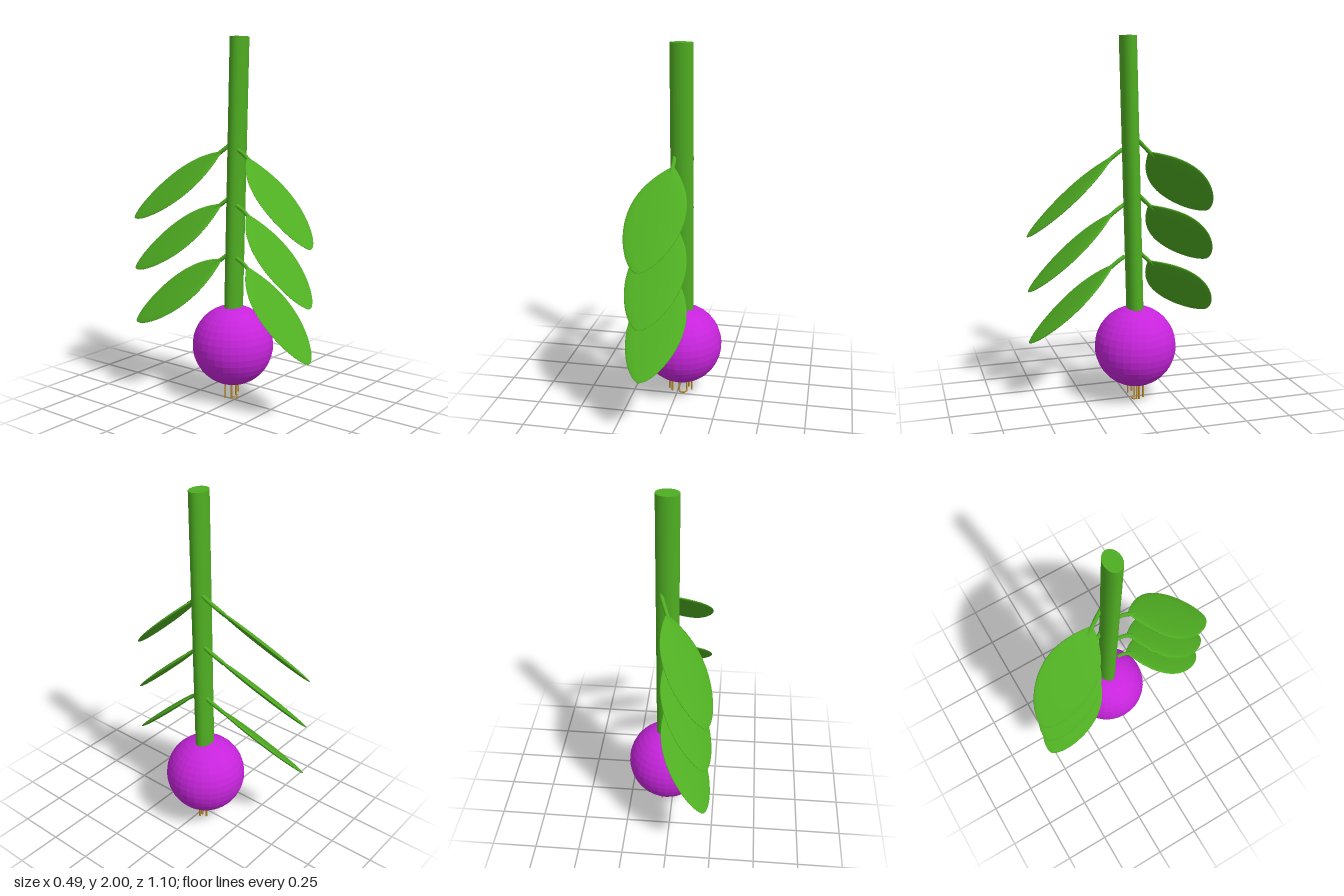
import * as THREE from 'three';

const V = (x, y, z) => new THREE.Vector3(x, y, z);
const green = new THREE.MeshStandardMaterial({ color: 0x4fae22 });
const purple = new THREE.MeshStandardMaterial({ color: 0xc724dc, flatShading: true, side: THREE.DoubleSide });
const gold = new THREE.MeshStandardMaterial({ color: 0xb8892a });

function add(parent, name, geometry, material) {
  const mesh = new THREE.Mesh(geometry, material);
  mesh.name = name;
  parent.add(mesh);
  return mesh;
}

// Flat almond blade: a sphere reshaped so it runs down from its base at the origin
function bladeGeometry(length) {
  const g = new THREE.SphereGeometry(1, 32, 32);
  const p = g.attributes.position;
  for (let i = 0; i < p.count; i++) {
    const t = (1 - p.getY(i)) / 2;
    const s = Math.sqrt(Math.max(0, 4 * t * (1 - t)));
    const phi = Math.atan2(p.getZ(i), p.getX(i));
    const half = 0.152 * Math.pow(s, 1.9 - 0.6 * t);
    p.setXYZ(i, Math.cos(phi) * half, -t * length, Math.sin(phi) * 0.015 * s);
  }
  g.computeVertexNormals();
  return g;
}

// Leaf with its stalk, from the joint on the stem through the blade base to the tip
function makeLeaf(name, joint, base, tip, across) {
  const leaf = new THREE.Group();
  leaf.name = name;
  const up = base.clone().sub(tip);
  const length = up.length();
  up.normalize();
  const w = across.clone().addScaledVector(up, -across.dot(up)).normalize();
  const n = w.clone().cross(up);
  const blade = add(leaf, 'blade', bladeGeometry(length), green);
  blade.quaternion.setFromRotationMatrix(new THREE.Matrix4().makeBasis(w, up, n));
  blade.position.copy(base);
  const end = base.clone().addScaledVector(up, -0.05);
  const mid = base.clone().lerp(joint, 0.35);
  const path = new THREE.CatmullRomCurve3([joint, mid, end]);
  add(leaf, 'stalk', new THREE.TubeGeometry(path, 12, 0.011, 10), green);
  return leaf;
}

export function createModel() {
  const model = new THREE.Group();

  // Bulb, open underneath
  const bulb = add(model, 'bulb',
    new THREE.SphereGeometry(0.226, 32, 16, 0, Math.PI * 2, 0, Math.PI * 0.865), purple);
  bulb.position.set(0.025, 0.31, -0.03);

  // Oval stem leaning slightly forward, with level ends
  const stemGeo = new THREE.CylinderGeometry(0.062, 0.062, 1.5, 32);
  stemGeo.scale(1, 1, 0.74);
  stemGeo.translate(0.028, 1.25, 0);
  const p = stemGeo.attributes.position;
  for (let i = 0; i < p.count; i++) p.setZ(i, p.getZ(i) + 0.013 - 0.027 * (2 - p.getY(i)));
  stemGeo.computeVertexNormals();
  add(model, 'stem', stemGeo, green);

  // Three leaves in front and three behind
  const front = makeLeaf('frontLeaf', V(-0.008, 1.41, 0.02), V(0, 1.37, 0.085),
    V(-0.095, 0.935, 0.547), V(0.988, -0.103, 0.112));
  const back = makeLeaf('backLeaf', V(0.065, 1.47, -0.02), V(0.025, 1.39, -0.105),
    V(-0.212, 1.013, -0.545), V(0.64, 0.375, -0.668));
  for (const [leaf, drops] of [[front, [0, -0.305, -0.595]], [back, [0, -0.29, -0.6]]]) {
    drops.forEach((dy, i) => {
      const copy = leaf.clone();
      copy.name = leaf.name + (i + 1);
      copy.position.y = dy;
      model.add(copy);
    });
  }

  // Thin hanging roots
  const roots = [[-0.046, -0.03], [-0.025, -0.002], [0.01, -0.03], [0.054, -0.03], [0.06, -0.066], [0.083, -0.035]];
  roots.forEach(([x, z], i) => {
    const low = i === 2 || i === 3 ? 0.005 : 0.015;
    const root = add(model, 'root' + (i + 1), new THREE.CylinderGeometry(0.005, 0.005, 0.14 - low, 8), gold);
    root.position.set(x, (0.14 + low) / 2, z);
  });

  // Curl joining the two middle roots
  const curl = new THREE.CatmullRomCurve3([V(0.01, 0.008, -0.03), V(0.02, 0.005, -0.012),
    V(0.044, 0.005, -0.012), V(0.054, 0.008, -0.03)]);
  add(model, 'rootCurl', new THREE.TubeGeometry(curl, 12, 0.005, 8), gold);

  return model;
}
